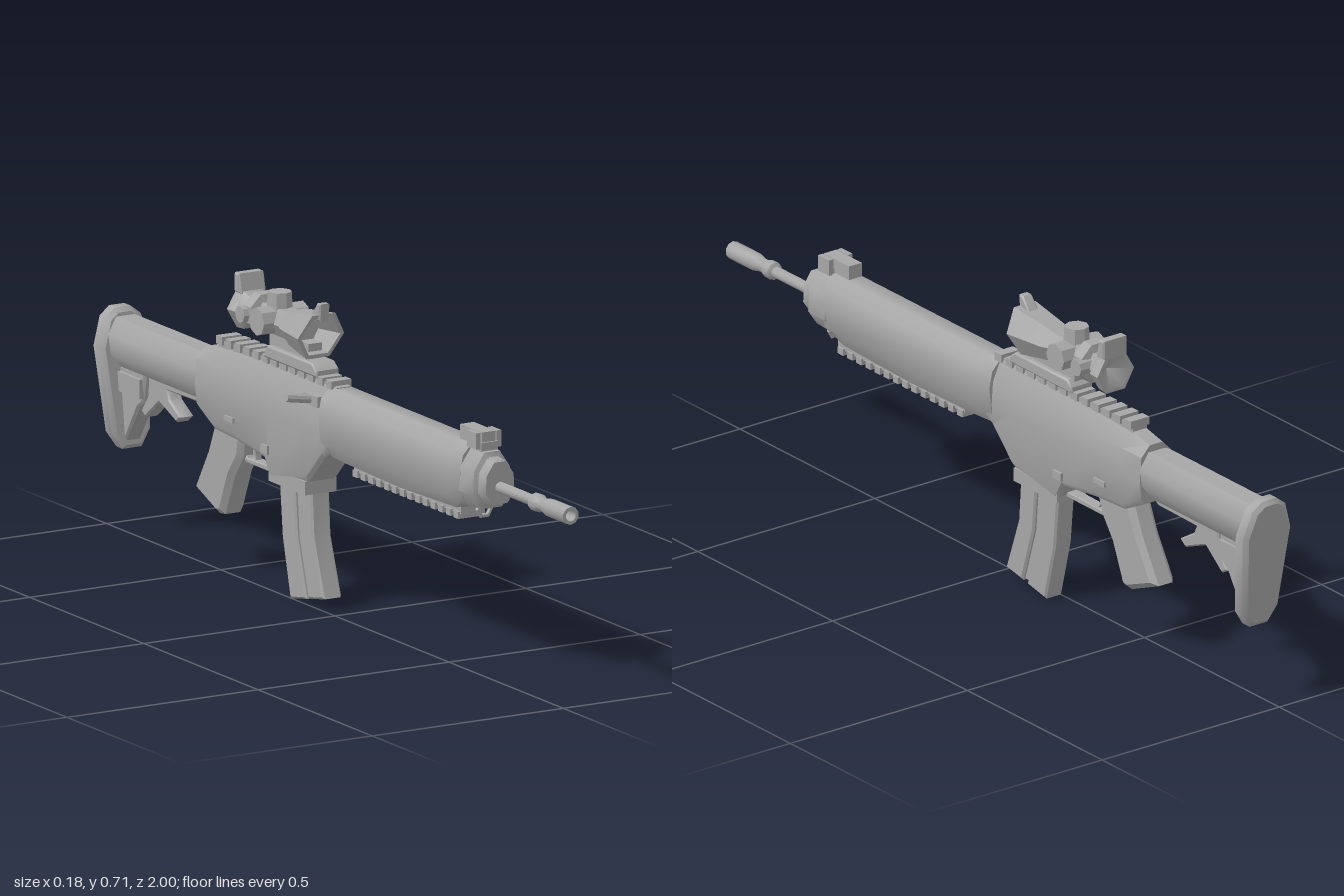
import * as THREE from 'three';
import { toCreasedNormals } from 'three/addons/utils/BufferGeometryUtils.js';

export function createModel() {
  const group = new THREE.Group();
  const body = new THREE.Group();
  body.name = 'rifle';
  body.position.x = 0.02;
  group.add(body);
  const grey = new THREE.MeshStandardMaterial({ color: 0xa6a6a6 });
  grey.name = 'grey metal';

  const add = (name, geo, crease = 0.7) => {
    const mesh = new THREE.Mesh(toCreasedNormals(geo, crease), grey);
    mesh.name = name;
    body.add(mesh);
    return mesh;
  };

  // Box given by its half width and its y and z ranges
  const box = (name, half, y0, y1, z0, z1, x = 0) =>
    add(name, new THREE.BoxGeometry(half * 2, y1 - y0, Math.abs(z1 - z0))
      .translate(x, (y0 + y1) / 2, (z0 + z1) / 2));

  // Side profile of [z, y] points, extruded across x with bevelled edges
  const plate = (name, pts, half, bevel = 0.006) => {
    const shape = new THREE.Shape(pts.map(p => new THREE.Vector2(...p)));
    const geo = new THREE.ExtrudeGeometry(shape, {
      depth: 2 * (half - bevel), bevelEnabled: true, bevelSize: bevel,
      bevelOffset: -bevel, bevelThickness: bevel, bevelSegments: 1,
    });
    return add(name, geo.translate(0, 0, bevel - half).rotateY(-Math.PI / 2));
  };

  // Turned part along z from [radius, z] points, z ascending
  const turned = (pts, y, sides, spin = 0) =>
    new THREE.LatheGeometry(pts.map(p => new THREE.Vector2(...p)), sides, spin)
      .rotateX(Math.PI / 2).translate(0, y, 0);

  // Mirrored half sections [x, y] (top to bottom), joined from front to back
  const loft = (name, stations, crease) => {
    const pos = [], idx = [];
    const n = stations[0].half.length * 2;
    for (const { z, half } of stations) {
      for (const [x, y] of half) pos.push(-x, y, z);
      for (const [x, y] of [...half].reverse()) pos.push(x, y, z);
    }
    const last = (stations.length - 1) * n;
    for (let i = 0; i < last; i += n) {
      for (let j = 0; j < n; j++) {
        const k = (j + 1) % n;
        idx.push(i + j, i + n + k, i + k, i + j, i + n + j, i + n + k);
      }
    }
    for (let j = 1; j < n - 1; j++) idx.push(0, j, j + 1, last, last + j + 1, last + j);
    const geo = new THREE.BufferGeometry();
    geo.setAttribute('position', new THREE.Float32BufferAttribute(pos, 3));
    geo.setIndex(idx);
    return add(name, geo, crease);
  };

  // Barrel and muzzle
  add('barrel', turned([[0, 0.6], [0.013, 0.6], [0.013, 0.84], [0.021, 0.845], [0.021, 0.865],
    [0.016, 0.875], [0.016, 0.89], [0.021, 0.91], [0.021, 1], [0.013, 1], [0.013, 0.96], [0, 0.96]], 0.45, 10));
  add('gasPlug', turned([[0, 0.6], [0.022, 0.6], [0.022, 0.68], [0.015, 0.69], [0, 0.69]], 0.495, 6, Math.PI / 6));

  // Front collar
  loft('frontCollar', [[0.69, 0.75], [0.66, 0.8], [0.655, 1], [0.6, 1.05], [0.59, 1]].map(([z, s]) => ({
    z, half: [[0.02, 0.525], [0.047, 0.485], [0.05, 0.43], [0.026, 0.395]].map(([x, y]) => [x * s, 0.46 + (y - 0.46) * s]),
  })));

  // Front sight
  box('frontSightBase', 0.022, 0.51, 0.545, 0.6, 0.645);
  box('frontSightBlock', 0.018, 0.535, 0.568, 0.545, 0.64);
  for (const s of [-1, 1]) box('frontSightEar', 0.006, 0.53, 0.568, 0.6, 0.64, s * 0.027);
  add('slingLoop', new THREE.TorusGeometry(0.017, 0.006, 6, 6).translate(0, 0.385, 0.62));

  // Handguard, scooped slightly at both ends
  loft('handguard', [[0.6, 0.9, 0.39], [0.55, 1, 0.377], [0.3, 1, 0.37], [0.05, 1, 0.375], [-0.02, 0.92, 0.378]]
    .map(([z, s, low]) => ({
      z, half: [[0.022, 0.533], [0.048 * s, 0.51], [0.057 * s, 0.47], [0.05 * s, 0.41], [0.03 * s, low]],
    })), 0.9);
  box('lowerRail', 0.03, 0.365, 0.385, 0.57, 0.1);
  for (let i = 0; i < 14; i++) box('lowerRailTooth', 0.035, 0.354, 0.37, 0.565 - i * 0.034, 0.545 - i * 0.034);

  // Receiver
  loft('receiver', [[0.005, 0.535, 0.385], [-0.02, 0.54, 0.37], [-0.09, 0.54, 0.3], [-0.25, 0.535, 0.272],
    [-0.275, 0.535, 0.315], [-0.4, 0.53, 0.33], [-0.5, 0.525, 0.335], [-0.57, 0.51, 0.37]].map(([z, top, low]) => ({
    z, half: [[0.018, top], [0.042, 0.485], [0.046, 0.43], [0.042, low + 0.012], [0.034, low]],
  })), 0.6);
  box('magazineCollar', 0.041, 0.268, 0.3, -0.095, -0.255).rotation.x = 0;

  // Top rail
  box('topRail', 0.02, 0.51, 0.54, -0.01, -0.51);
  for (let i = 0; i < 13; i++) box('topRailTooth', 0.026, 0.53, 0.549, -0.005 - i * 0.04, -0.03 - i * 0.04);

  // Charging handle on the right, selector on both sides
  add('chargingHandle', new THREE.CylinderGeometry(0.01, 0.01, 0.08, 8)
    .rotateZ(Math.PI / 2 - 0.17).translate(-0.07, 0.503, -0.065));
  box('handleSlide', 0.008, 0.485, 0.51, -0.03, -0.09, -0.04);
  for (const s of [-1, 1]) {
    box('selector', 0.004, 0.37, 0.382, -0.4, -0.44, s * 0.045);
    box('magazineCatch', 0.005, 0.33, 0.35, -0.25, -0.28, s * 0.044);
  }

  // Curved magazine: two lobes and a thin web
  const front = [[-0.1, 0.31], [-0.09, 0.17], [-0.043, 0.036]];
  const rear = [[-0.24, 0.3], [-0.225, 0.145], [-0.19, 0.007]];
  const across = (t) => front.map((p, i) => [p[0] + (rear[i][0] - p[0]) * t, p[1] + (rear[i][1] - p[1]) * t]);
  const magazineStrip = (name, t0, t1, half) =>
    plate(name, [...across(t0), ...across(t1).reverse()], half, 0.005);
  magazineStrip('magazineFront', 0, 0.42, 0.025);
  magazineStrip('magazineWeb', 0.35, 0.6, 0.016);
  magazineStrip('magazineRear', 0.53, 1, 0.025);

  // Trigger, guard and grip
  plate('triggerGuard', [[-0.24, 0.29], [-0.24, 0.276], [-0.4, 0.276], [-0.425, 0.3], [-0.415, 0.31], [-0.395, 0.287]], 0.014, 0.002);
  plate('trigger', [[-0.355, 0.335], [-0.385, 0.335], [-0.38, 0.3], [-0.365, 0.284], [-0.37, 0.305]], 0.008, 0.002);
  plate('grip', [[-0.39, 0.36], [-0.4, 0.29], [-0.44, 0.235], [-0.48, 0.14], [-0.505, 0.137], [-0.605, 0.178],
    [-0.545, 0.28], [-0.51, 0.36]], 0.032, 0.013);

  // Stock
  loft('stockTube', [[-0.55, 0.85], [-0.585, 1], [-0.96, 1]].map(([z, s]) => ({
    z, half: [[0.024, 0.497], [0.048, 0.46], [0.044, 0.415], [0.022, 0.385]].map(([x, y]) => [x * s, 0.44 + (y - 0.44) * s]),
  })), 0.9);
  plate('stockLever', [[-0.575, 0.39], [-0.82, 0.39], [-0.825, 0.34], [-0.855, 0.3], [-0.835, 0.288], [-0.775, 0.335],
    [-0.7, 0.305], [-0.68, 0.32], [-0.73, 0.35], [-0.74, 0.37], [-0.6, 0.372]], 0.018, 0.004);
  plate('stockBrace', [[-0.83, 0.39], [-0.96, 0.39], [-0.945, 0.2], [-0.92, 0.21], [-0.86, 0.305], [-0.84, 0.32]], 0.022, 0.006);
  box('stockBraceRib', 0.03, 0.33, 0.375, -0.84, -0.95);

  // Butt pad, leaning forward toward the bottom
  const half = [[0.02, 0.515], [0.046, 0.495], [0.067, 0.43], [0.05, 0.235], [0.025, 0.197]];
  const outline = [...half.map(([x, y]) => [-x, y]), ...[...half].reverse()];
  const pad = new THREE.ExtrudeGeometry(new THREE.Shape(outline.map(p => new THREE.Vector2(...p))), {
    depth: 0.026, bevelEnabled: true, bevelSize: 0.01, bevelOffset: -0.01, bevelThickness: 0.01, bevelSegments: 1,
  }).translate(0, 0, -0.99);
  const v = pad.attributes.position;
  for (let i = 0; i < v.count; i++) v.setZ(i, v.getZ(i) + (0.515 - v.getY(i)) * 0.13);
  add('buttPad', pad);

  // Scope and mount
  plate('scopeMount', [[-0.065, 0.545], [-0.065, 0.56], [-0.085, 0.575], [-0.28, 0.575], [-0.295, 0.56], [-0.295, 0.545]], 0.031, 0.004);
  box('scopeFoot', 0.018, 0.57, 0.61, -0.12, -0.29);
  const scope = turned([[0, -0.385], [0.04, -0.42], [0.052, -0.42], [0.05, -0.39], [0.036, -0.375], [0.036, -0.22],
    [0.045, -0.2], [0.061, -0.095], [0.051, -0.095], [0.032, -0.16], [0, -0.16]], 0.632, 6, Math.PI / 6);
  const p = scope.attributes.position;
  for (let i = 0; i < p.count; i++) {
    if (p.getZ(i) > -0.1) p.setZ(i, p.getZ(i) + (p.getY(i) - 0.632) * 0.25);
  }
  add('scopeTube', scope, 0.9);
  add('scopeRing', turned([[0.03, -0.36], [0.05, -0.355], [0.05, -0.325], [0.03, -0.32]], 0.635, 8, Math.PI / 8));
  const knob = (name, r, length, z) =>
    add(name, new THREE.CylinderGeometry(r, r, length, 8).rotateZ(Math.PI / 2).translate(0, 0.635, z));
  knob('sideTurrets', 0.033, 0.122, -0.275);
  knob('sideScrews', 0.02, 0.12, -0.35);
  add('topTurret', new THREE.CylinderGeometry(0.028, 0.032, 0.08, 8).translate(0, 0.658, -0.275));
  plate('frontHorn', [[-0.08, 0.67], [-0.077, 0.71], [-0.092, 0.71], [-0.125, 0.67]], 0.014, 0.004);
  plate('rearHorn', [[-0.39, 0.67], [-0.4, 0.715], [-0.42, 0.715], [-0.42, 0.67]], 0.034, 0.004);

  return group;
}
